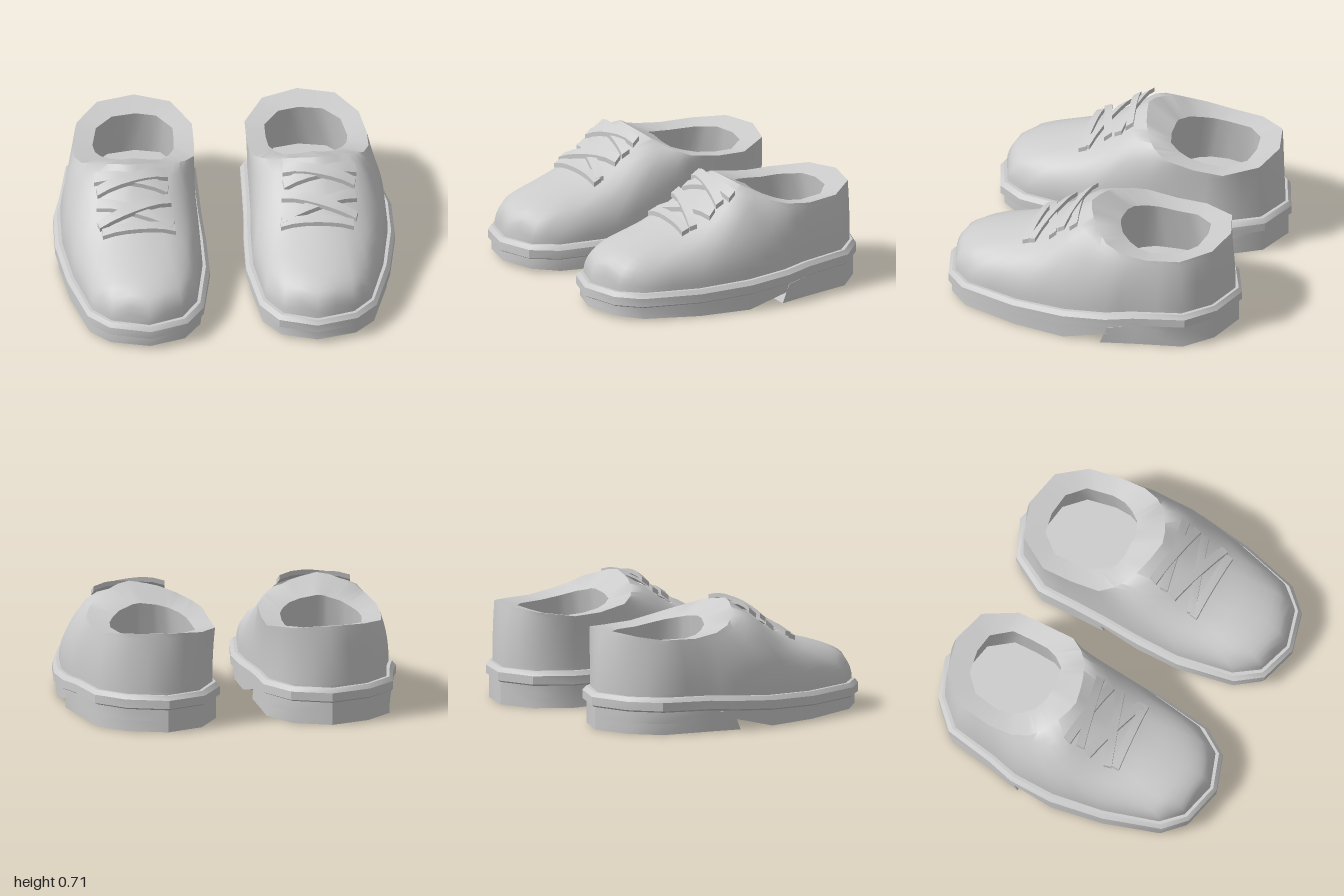
import * as THREE from 'three';
import { toCreasedNormals } from 'three/addons/utils/BufferGeometryUtils.js';

const V = (x, y, z) => new THREE.Vector3(x, y, z);
const { lerp, smoothstep, clamp } = THREE.MathUtils;

// Per outline point, heel -> outer side -> toe -> inner side:
// welt x, z | collar x, z, y | inner collar edge x, z
const PLAN = [
  [0.487, -0.90, 0.48, -0.83, 0.585, 0.48, -0.69],
  [0.73, -0.82, 0.70, -0.78, 0.58, 0.62, -0.67],
  [0.89, -0.67, 0.83, -0.62, 0.555, 0.72, -0.58],
  [0.95, -0.37, 0.865, -0.42, 0.55, 0.75, -0.42],
  [0.995, -0.21, 0.865, -0.27, 0.57, 0.74, -0.34],
  [1.0, 0.05, 0.83, -0.17, 0.60, 0.71, -0.28],
  [0.95, 0.37, 0.77, -0.10, 0.645, 0.66, -0.22],
  [0.85, 0.71, 0.69, -0.05, 0.675, 0.60, -0.19],
  [0.73, 0.83, 0.63, -0.02, 0.695, 0.57, -0.18],
  [0.49, 0.89, 0.56, 0.0, 0.705, 0.53, -0.18],
  [0.27, 0.82, 0.46, -0.02, 0.69, 0.48, -0.18],
  [0.165, 0.67, 0.39, -0.04, 0.675, 0.43, -0.18],
  [0.107, 0.32, 0.29, -0.08, 0.64, 0.36, -0.20],
  [0.11, 0.05, 0.22, -0.14, 0.61, 0.31, -0.26],
  [0.123, -0.19, 0.165, -0.22, 0.58, 0.28, -0.33],
  [0.127, -0.37, 0.155, -0.40, 0.55, 0.27, -0.44],
  [0.13, -0.60, 0.155, -0.58, 0.545, 0.27, -0.56],
  [0.257, -0.81, 0.27, -0.77, 0.57, 0.36, -0.67],
];
const CX = 0.553;

// Piecewise-linear lookup; knots are [input, output] in ascending input
function table(knots, t) {
  if (t <= knots[0][0]) return knots[0][1];
  for (let i = 1; i < knots.length; i++) {
    const [a, b] = [knots[i - 1], knots[i]];
    if (t <= b[0]) return lerp(a[1], b[1], (t - a[0]) / (b[0] - a[0]));
  }
  return knots[knots.length - 1][1];
}

// The sole line rises gently toward the heel
const lift = z => 0.055 * (1 - smoothstep(z, -0.6, 0.4));
const soleBottom = z => table([[-0.3, 0.065], [-0.2, 0.065], [0.05, 0], [0.55, 0], [0.89, 0.025]], z);

// Welt outline moved inward by d, at height y(z)
const outline = (d, y) => PLAN.map(([x, z]) => {
  const px = CX + (x - CX) * (1 - d / 0.445), pz = z * (1 - d * 0.9 / 0.89);
  return V(px, y(pz), pz);
});

// Skin closed rings from bottom to top, with optional strip caps
function loft(rings, capBottom, capTop, crease = 0.7) {
  const n = rings[0].length, pos = [], idx = [];
  rings.forEach(r => r.forEach(p => pos.push(p.x, p.y, p.z)));
  for (let i = 0; i < rings.length - 1; i++) for (let j = 0; j < n; j++) {
    const a = i * n + j, b = i * n + (j + 1) % n;
    idx.push(a, a + n, b + n, a, b + n, b);
  }
  const cap = (o, up) => {
    const tri = (a, b, c) => {
      if (a !== b && b !== c && a !== c) idx.push(o + a, o + (up ? c : b), o + (up ? b : c));
    };
    for (let j = 0; j < Math.floor(n / 2); j++) {
      tri(j, j + 1, n - j - 1);
      tri(j, n - j - 1, (n - j) % n);
    }
  };
  if (capBottom) cap(0, false);
  if (capTop) cap((rings.length - 1) * n, true);
  const g = new THREE.BufferGeometry();
  g.setAttribute('position', new THREE.Float32BufferAttribute(pos, 3));
  g.setIndex(idx);
  return toCreasedNormals(g, crease);
}

// Domed forefoot height above any point
const BASE = outline(0.042, z => 0.16 + lift(z));
const outerEdge = BASE.slice(0, 10).map(p => [p.z, p.x]);
const innerEdge = [...BASE.slice(9), BASE[0]].reverse().map(p => [p.z, p.x]);
const crown = z => table([[0, 0.705], [0.1, 0.63], [0.2, 0.555], [0.3, 0.495], [0.4, 0.455],
  [0.6, 0.4], [0.72, 0.36], [0.78, 0.33], [0.82, 0.29], [0.845, 0.23], [0.857, 0.165]], z);
function dome(x, z) {
  const a = table(innerEdge, z), b = table(outerEdge, z), base = 0.16 + lift(z);
  const s = clamp(Math.abs(x - (a + b) / 2) / Math.max((b - a) / 2, 0.02), 0, 1);
  return base + (crown(z) - base) * Math.pow(1 - Math.pow(s, 2.5), 0.4);
}

// Insert midpoints between outline points
const dense = r => r.flatMap((p, i) => [p, p.clone().lerp(r[(i + 1) % r.length], 0.5)]);

// Upper: walls rise from the welt to the collar, fold in, then drop to the insole
function upperGeometry() {
  const base = dense(BASE);
  const collar = dense(PLAN.map(p => V(p[2], p[4], p[3])));
  const inner = dense(PLAN.map(p => V(p[5], p[4] * 0.5 + 0.26, p[6])));
  const rows = 14, rings = [];
  for (let i = 0; i <= rows; i++) {
    const t = i / rows, h = Math.pow(t, 2.2);
    rings.push(base.map((b, j) => {
      const c = collar[j], x = lerp(b.x, c.x, h), z = lerp(b.z, c.z, h);
      const wall = lerp(b.y, c.y, t);
      const front = i === 0 ? b.y : dome(x, z) + (c.y - dome(c.x, c.z)) * t * t;
      return V(x, lerp(wall, front, smoothstep(b.z, -0.1, 0.4)), z);
    }));
  }
  const floor = inner.map((p, j) => V(lerp(p.x, collar[j].x, 0.3), 0.25, lerp(p.z, collar[j].z, 0.3)));
  return loft([...rings, inner, floor], false, true, 0.9);
}

// Heel block: the part of the outline behind the arch
function heelGeometry() {
  const ring = (y, front) => {
    const r = outline(0.022, y);
    return [0, 1, 2, 3, 4, 14, 15, 16, 17].map(i => {
      const p = r[i];
      if (i === 4 || i === 14) p.z = front;
      return p;
    });
  };
  return loft([ring(() => 0, -0.175), ring(z => 0.075 + lift(z), -0.22)], true, true);
}

// Lace: a flat strap draped over the instep
function laceGeometry([x0, z0, x1, z1], raise) {
  const dir = V(x1 - x0, 0, z1 - z0).normalize();
  const side = V(-dir.z, 0, dir.x).multiplyScalar(0.023);
  const rings = [];
  for (let i = 0; i <= 6; i++) {
    const x = lerp(x0, x1, i / 6), z = lerp(z0, z1, i / 6);
    const corner = (s, dy) => {
      const p = V(x, 0, z).addScaledVector(side, s);
      p.y = dome(p.x, p.z) + raise + dy;
      return p;
    };
    rings.push([corner(-1, -0.01), corner(1, -0.01), corner(1, 0.018), corner(-1, 0.018)]);
  }
  return loft(rings, true, true, 0.6);
}

const LACES = [
  [0.77, 0.05, 0.34, 0.12], [0.34, 0.05, 0.76, 0.13],
  [0.76, 0.18, 0.32, 0.31], [0.33, 0.18, 0.76, 0.31],
  [0.74, 0.35, 0.31, 0.33],
];

function mirrorX(geometry) {
  const g = geometry.clone();
  for (const name of ['position', 'normal']) {
    const a = g.attributes[name], src = geometry.attributes[name];
    for (let i = 0; i < a.count; i++) {
      const k = i % 3 === 0 ? i : i % 3 === 1 ? i + 1 : i - 1;
      a.setXYZ(i, -src.getX(k), src.getY(k), src.getZ(k));
    }
  }
  return g;
}

export function createModel() {
  const material = new THREE.MeshStandardMaterial({ color: 0xcccccc });
  const lifted = y => z => y + lift(z);
  const parts = [
    ['outsole', loft([outline(0.022, soleBottom), outline(0.022, lifted(0.08))], true, true)],
    ['heel', heelGeometry()],
    ['welt', loft([outline(0.025, lifted(0.077)), outline(0, lifted(0.09)), outline(0, lifted(0.14)),
      outline(0.022, lifted(0.165)), outline(0.045, lifted(0.165))], true, true, 0.6)],
    ['upper', upperGeometry()],
    ...LACES.map((l, i) => ['lace' + (i + 1), laceGeometry(l, i % 2 ? 0.03 : 0.014)]),
  ];
  const model = new THREE.Group();
  model.name = 'pairOfShoes';
  for (const side of ['left', 'right']) {
    const shoe = new THREE.Group();
    shoe.name = side + 'Shoe';
    for (const [name, geometry] of parts) {
      const mesh = new THREE.Mesh(side === 'left' ? geometry : mirrorX(geometry), material);
      mesh.name = name;
      shoe.add(mesh);
    }
    model.add(shoe);
  }
  return model;
}
